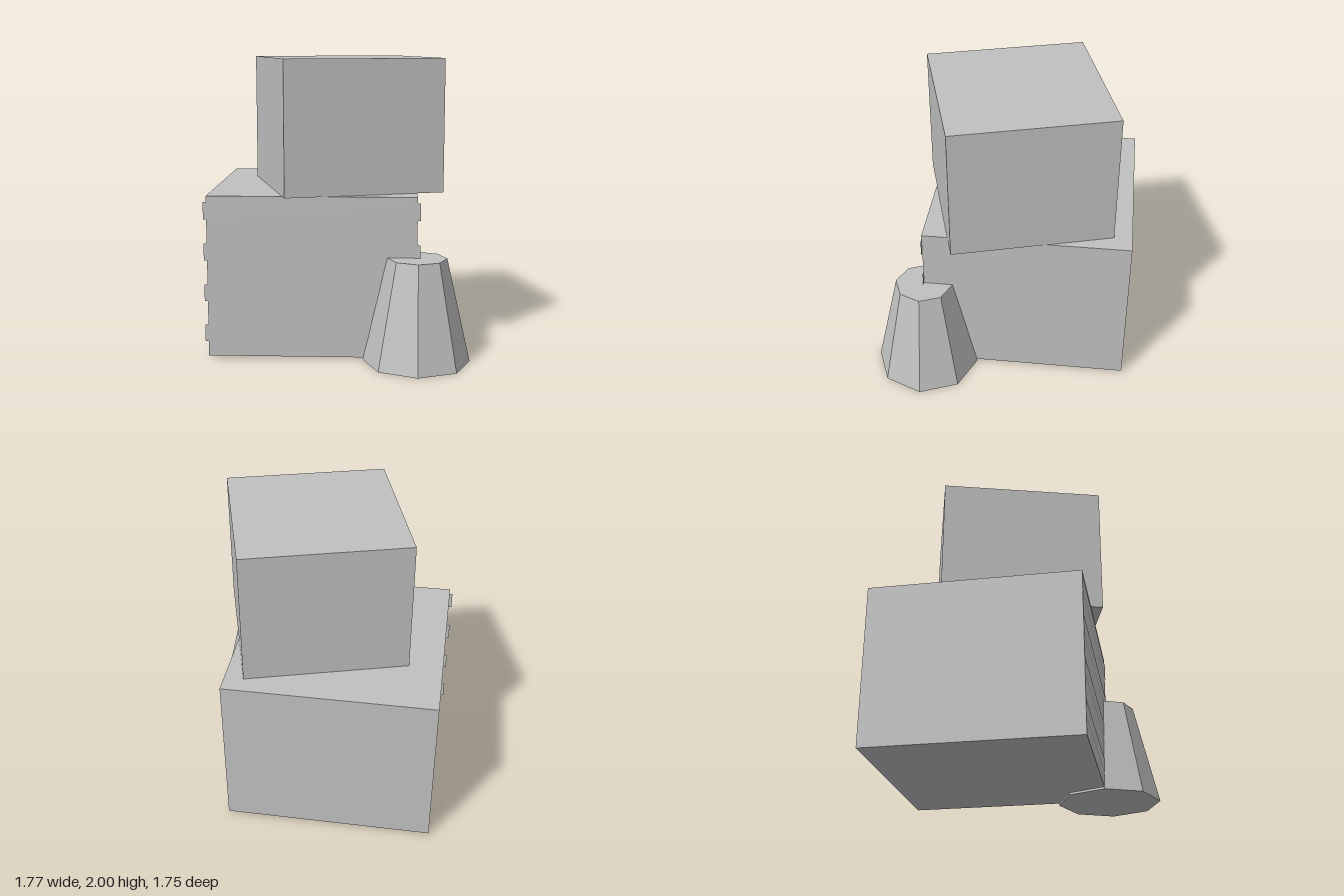
import * as THREE from 'three';

export function createModel() {
  const group = new THREE.Group();
  const grey = new THREE.MeshStandardMaterial({ color: 0xc0c0c0, flatShading: true, side: THREE.DoubleSide });
  grey.name = 'plain grey';

  const add = (name, geometry, x, y, z, turn = 0) => {
    const mesh = new THREE.Mesh(geometry, grey);
    mesh.name = name;
    mesh.position.set(x, y, z);
    mesh.rotation.y = turn;
    group.add(mesh);
  };

  // Large crate at the bottom
  add('lowerCrate', new THREE.BoxGeometry(1.394, 1.09, 1.394), -0.172, 0.56, -0.18);

  // Smaller crate, turned on top of the large one
  add('upperCrate', new THREE.BoxGeometry(1.089, 0.895, 1.089), 0.028, 1.5525, -0.08, 0.284);

  // Thin slats across the front, a little wider than the crate
  for (let i = 0; i < 4; i++) {
    add('slat' + (i + 1), new THREE.PlaneGeometry(1.435, 0.115), -0.172, 0.173 + i * 0.278, 0.52);
  }

  // Tapered eight-sided post around the front left corner
  add('taperedPost', new THREE.CylinderGeometry(0.197, 0.357, 0.7, 8), 0.525, 0.35, 0.517);

  return group;
}
